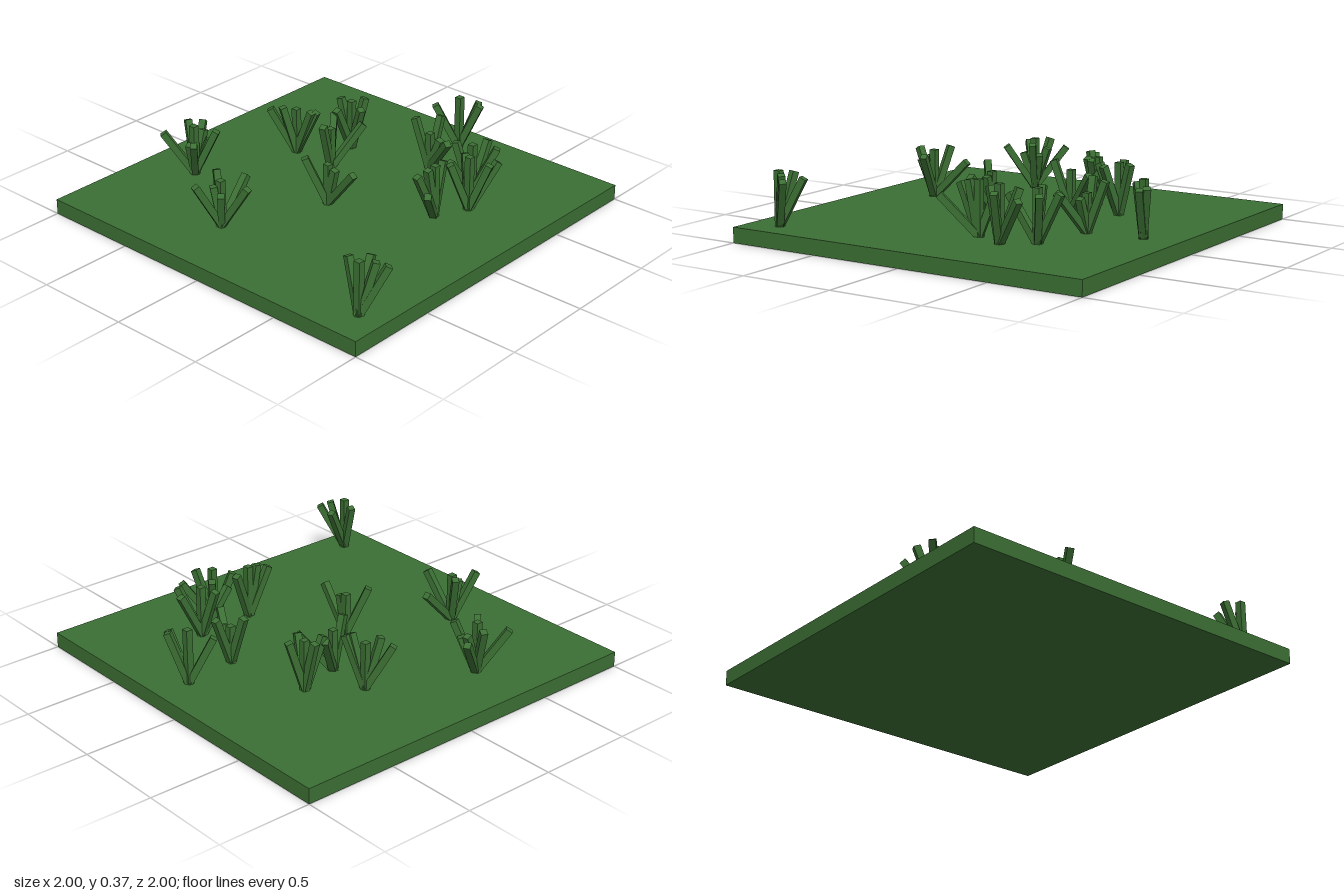
import * as THREE from 'three';

const SLAB = 0.08;   // slab thickness
const WIDTH = 0.035; // blade thickness
const REACH = 0.28;  // length of a full blade above the slab
const SINK = 0.02;   // how far blades are rooted into the slab

// Each tuft: root [x, z, top of its upright blade], then leaning tips [x, z, top if the blade is short]
const TUFTS = [
  { root: [-0.33, -0.69, 0.35], tips: [[-0.45, -0.81], [-0.28, -0.79], [-0.17, -0.78], [-0.45, -0.57], [-0.27, -0.57], [-0.24, -0.7, 0.3], [-0.26, -0.63, 0.27], [-0.4, -0.66, 0.27]] },
  { root: [0.2, -0.47, 0.33], tips: [[0.11, -0.59], [0.12, -0.51], [0.2, -0.35], [0.23, -0.34]] },
  { root: [-0.64, -0.19, 0.33], tips: [[-0.78, -0.24], [-0.58, -0.28], [-0.43, -0.21], [-0.6, -0.03], [-0.7, -0.13, 0.28], [-0.68, -0.22, 0.3]] },
  { root: [0.19, -0.22, 0.3], tips: [[0.33, -0.32], [0.36, -0.13], [0.09, -0.19]] },
  { root: [0.43, -0.29, 0.35], tips: [[0.42, -0.37], [0.52, -0.26], [0.39, -0.18], [0.3, -0.29]] },
  { root: [-0.12, 0.04, 0.3], tips: [[-0.21, -0.05], [-0.13, 0.23], [-0.12, 0.1, 0.28]] },
  { root: [0.52, 0.17, 0.28], tips: [[0.5, 0.07], [0.63, 0.16], [0.45, 0.35], [0.52, 0.25, 0.26]] },
  { root: [0.81, 0.13, 0.37], tips: [[0.71, 0.03], [0.85, 0.25], [0.88, 0.22]] },
  { root: [0.13, 0.52, 0.36], tips: [[-0.05, 0.62], [0, 0.5], [0.24, 0.49], [0.06, 0.52]] },
  { root: [0.3, 0.6, 0.37], tips: [[0.2, 0.54], [0.37, 0.51], [0.46, 0.67], [0.34, 0.71]] },
  { root: [0.45, 0.5, 0.35], tips: [[0.42, 0.4], [0.27, 0.49], [0.59, 0.5], [0.53, 0.61]] },
  { root: [-0.82, 0.86, 0.36], tips: [[-0.79, 0.76], [-0.68, 0.82], [-0.71, 0.96], [-0.75, 0.92]] },
];

// One square blade leaning from the root toward its tip
function makeBlade([rootX, rootZ], [tipX, tipZ, top], material) {
  const dx = tipX - rootX, dz = tipZ - rootZ;
  // The centre of the tip lies a little inside its outer edge
  const spread = Math.max(0, Math.hypot(dx, dz) - 0.014);
  const rise = top === undefined ? Math.sqrt(REACH ** 2 - spread ** 2) : top - SLAB;
  const length = Math.hypot(spread, rise) + SINK;

  const geometry = new THREE.BoxGeometry(WIDTH, length, WIDTH);
  geometry.translate(0, length / 2 - SINK, 0);
  const blade = new THREE.Mesh(geometry, material);
  blade.name = 'grassBlade';
  blade.position.set(rootX, SLAB, rootZ);
  blade.rotation.set(Math.atan2(spread, rise), Math.atan2(dx, dz), 0, 'YXZ');
  return blade;
}

export function createModel() {
  const model = new THREE.Group();
  model.name = 'grassPatch';

  const green = new THREE.MeshStandardMaterial({ color: 0x3c7034 });
  green.name = 'grassGreen';

  // Ground slab
  const slab = new THREE.Mesh(new THREE.BoxGeometry(2, SLAB, 2), green);
  slab.name = 'groundSlab';
  slab.position.y = SLAB / 2;
  model.add(slab);

  // Grass tufts: one upright blade at the root, the rest leaning outward
  for (const { root, tips } of TUFTS) {
    const tuft = new THREE.Group();
    tuft.name = 'grassTuft';
    for (const tip of [root, ...tips]) tuft.add(makeBlade(root, tip, green));
    model.add(tuft);
  }
  return model;
}
